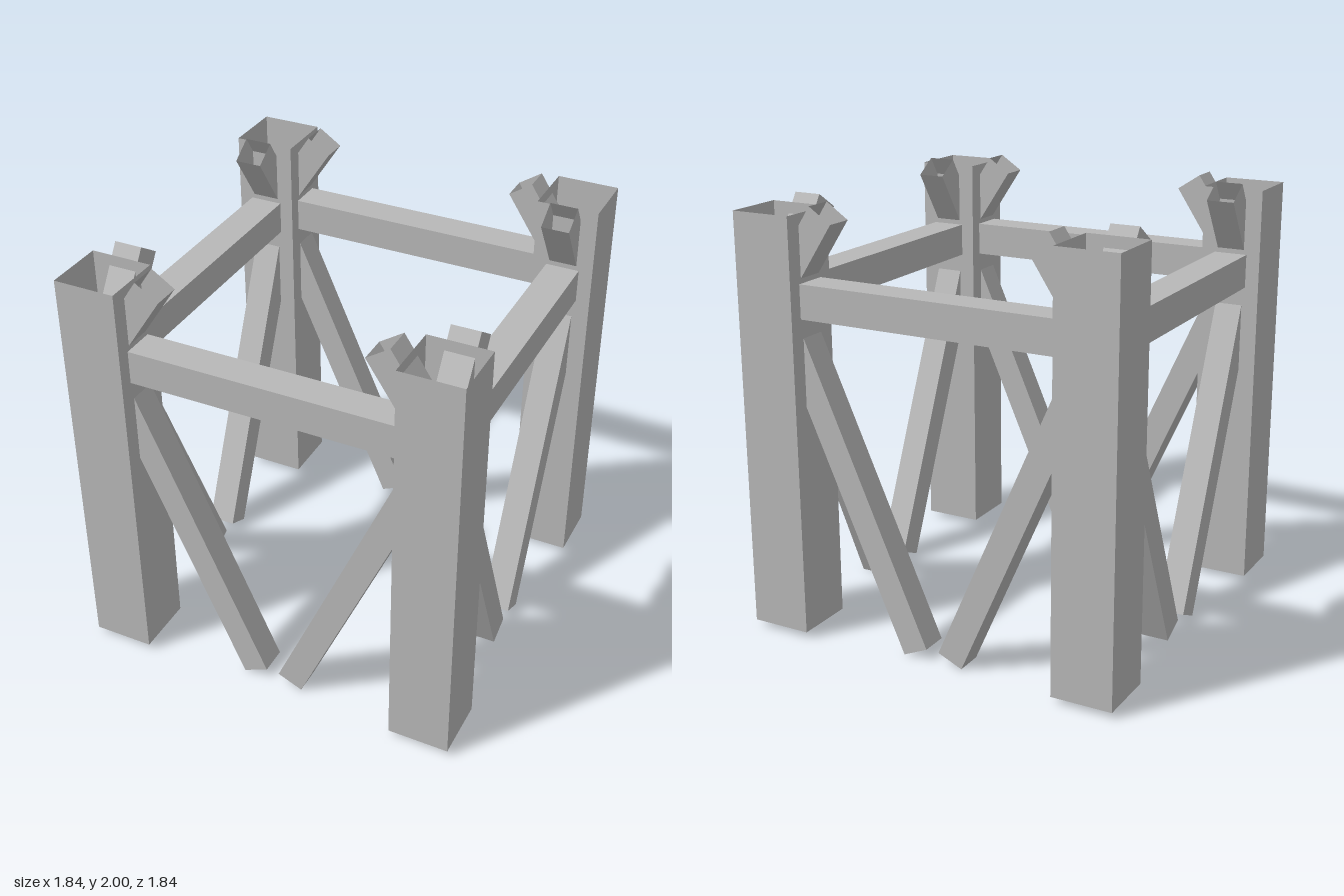
import * as THREE from 'three';

const CORNER = 0.775;   // post centre offset
const JOINT_Y = 1.58;   // height where beams and braces meet

// Box whose +y face is removed, so it reads as a hollow tube
function openBox(w, h, d) {
  const geo = new THREE.BoxGeometry(w, h, d);
  const index = Array.from(geo.index.array);
  index.splice(12, 6);
  geo.setIndex(index);
  geo.clearGroups();
  return geo;
}

export function createModel() {
  const model = new THREE.Group();
  model.name = 'timberFrame';
  const gray = new THREE.MeshStandardMaterial({ color: 0xb8b8b8, side: THREE.DoubleSide });
  gray.name = 'plain gray';

  function add(parent, name, geo, x, y, z) {
    const mesh = new THREE.Mesh(geo, gray);
    mesh.name = name;
    mesh.position.set(x, y, z);
    parent.add(mesh);
    return mesh;
  }

  // Brace running from the post joint to an end point, in the plane of one side
  function brace(parent, name, make, side, endX, endY) {
    const from = new THREE.Vector3(-side * CORNER, JOINT_Y, CORNER);
    const to = new THREE.Vector3(-side * endX, endY, CORNER);
    const dir = to.clone().sub(from);
    const mid = from.clone().add(to).multiplyScalar(0.5);
    const mesh = add(parent, name, make(0.128, dir.length(), 0.13), mid.x, mid.y, mid.z);
    mesh.rotation.z = Math.atan2(-dir.x, dir.y);
  }

  const solidBox = (w, h, d) => new THREE.BoxGeometry(w, h, d);

  // Four identical sides, each with one post, one beam and its braces
  for (let i = 0; i < 4; i++) {
    const frame = new THREE.Group();
    frame.name = 'side' + (i + 1);
    frame.rotation.y = i * Math.PI / 2;
    model.add(frame);

    add(frame, 'post', openBox(0.287, 1.935, 0.287), CORNER, 0.9975, CORNER);
    add(frame, 'beam', solidBox(2 * CORNER, 0.157, 0.157), 0, JOINT_Y, CORNER);
    for (const side of [-1, 1]) {
      brace(frame, 'lowerBrace', solidBox, side, 0.09, 0.027);
      brace(frame, 'upperBrace', openBox, side, 0.52, 1.965);
    }
  }
  return model;
}
